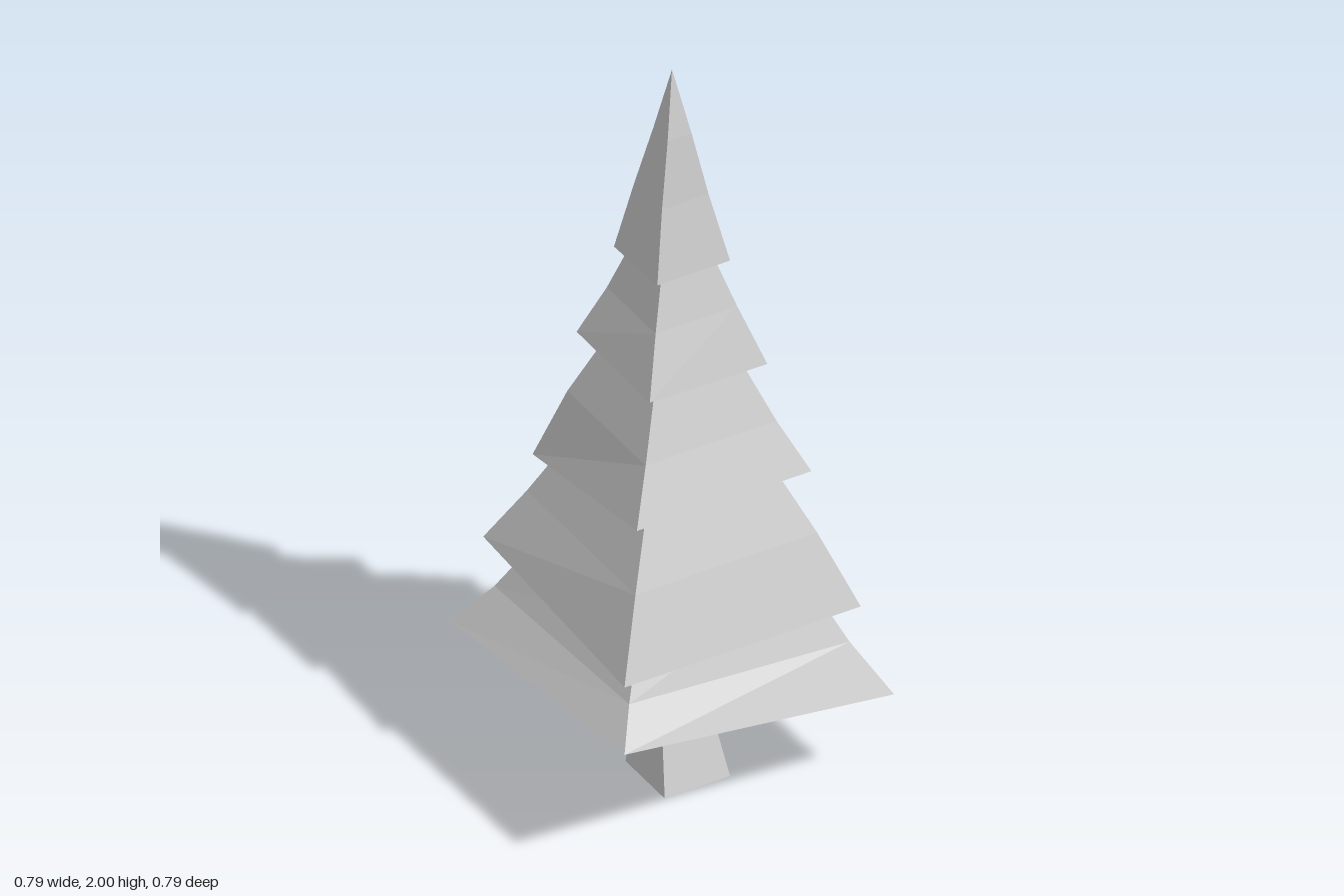
import * as THREE from 'three';

const material = new THREE.MeshStandardMaterial({ color: 0xcccccc, flatShading: true });

// Square ring: half width s at height y, shifted by dz, turned by twist,
// lying in a plane that slopes by px along x and pz along z.
function ring({ s, y, dz = 0, twist = 0, px = 0, pz = 0 }) {
  return [[1, 1], [1, -1], [-1, -1], [-1, 1]].map(([a, b]) => {
    const x = s * (a + twist * b);
    const z = s * (b - twist * a);
    return new THREE.Vector3(x, y + px * x + pz * z, z + dz);
  });
}

// Closed four-sided loft through rings given from bottom to top.
function loft(name, specs) {
  const rings = specs.map(ring);
  const points = [];
  const bottom = rings[0];
  const top = rings[rings.length - 1];
  const pointed = specs[specs.length - 1].s === 0;
  for (let r = 0; r < rings.length - 1; r++) {
    const lo = rings[r];
    const hi = rings[r + 1];
    for (let i = 0; i < 4; i++) {
      const j = (i + 1) % 4;
      points.push(lo[i], lo[j], hi[j]);
      if (!(pointed && hi === top)) points.push(lo[i], hi[j], hi[i]);
    }
  }
  points.push(bottom[0], bottom[2], bottom[1], bottom[0], bottom[3], bottom[2]);
  if (!pointed) points.push(top[0], top[1], top[2], top[0], top[2], top[3]);
  const geometry = new THREE.BufferGeometry().setFromPoints(points);
  geometry.computeVertexNormals();
  const mesh = new THREE.Mesh(geometry, material);
  mesh.name = name;
  return mesh;
}

export function createModel() {
  const tree = new THREE.Group();
  tree.name = 'firTree';

  // Crooked trunk, its top sunk into the lowest branches
  tree.add(loft('trunk', [
    { s: 0.09, y: 0, dz: 0.027 },
    { s: 0.068, y: 0.153, pz: 0.17 },
    { s: 0.073, y: 0.214, dz: 0.021 },
    { s: 0.088, y: 0.36, dz: 0.015 },
  ]));

  // Branch tiers from the ground up, each with a sloping hem
  const tiers = [
    [
      { s: 0.379, y: 0.304, twist: 0.036, px: -0.148, pz: 0.084 },
      { s: 0.305, y: 0.43, twist: 0.01, px: -0.07, pz: 0.04 },
      { s: 0.225, y: 0.6 },
    ],
    [
      { s: 0.325, y: 0.552, pz: -0.068 },
      { s: 0.25, y: 0.725 },
      { s: 0.145, y: 0.96 },
    ],
    [
      { s: 0.24, y: 0.866, pz: 0.14 },
      { s: 0.18, y: 1.03 },
      { s: 0.09, y: 1.26 },
    ],
    [
      { s: 0.1635, y: 1.197, twist: 0.018, px: -0.03, pz: -0.03 },
      { s: 0.112, y: 1.345 },
      { s: 0.055, y: 1.53 },
    ],
    [
      { s: 0.1, y: 1.469, pz: 0.04 },
      { s: 0.064, y: 1.655, dz: -0.003 },
      { s: 0.033, y: 1.825, dz: 0.002 },
      { s: 0, y: 2 },
    ],
  ];
  tiers.forEach((specs, i) => tree.add(loft(`branchTier${i + 1}`, specs)));

  return tree;
}
